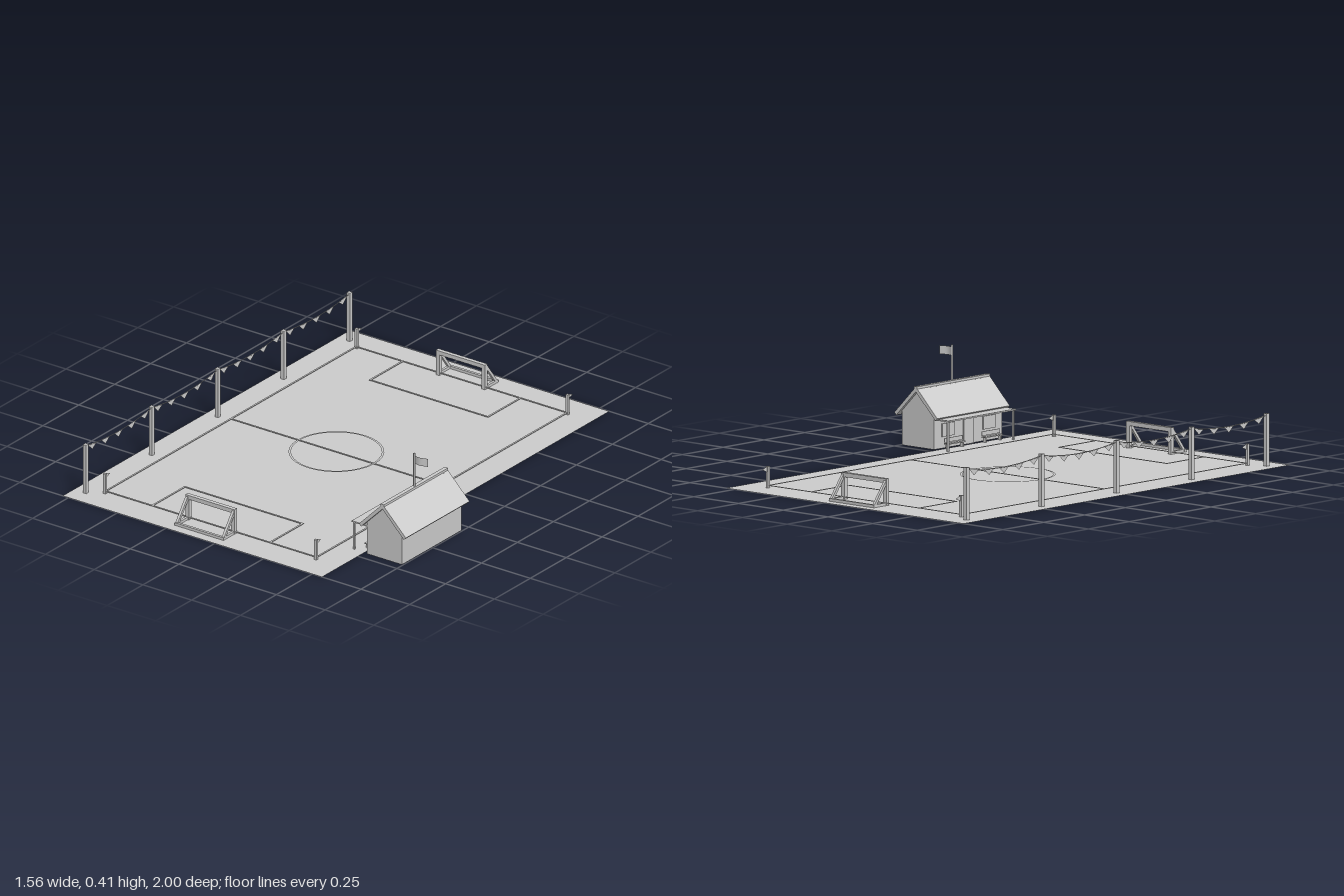
import * as THREE from 'three';

const CX = -0.113;            // middle of the pitch
const HW = 0.541, HL = 0.872; // half width and half length of the pitch

export function createModel() {
  const root = new THREE.Group();
  const grey = new THREE.MeshStandardMaterial({ color: 0xcccccc, side: THREE.DoubleSide });
  grey.name = 'plain grey';

  const add = (parent, name, geometry, x = 0, y = 0, z = 0) => {
    const m = new THREE.Mesh(geometry, grey);
    m.name = name;
    m.position.set(x, y, z);
    parent.add(m);
    return m;
  };
  const box = (parent, name, w, h, d, x, y, z) =>
    add(parent, name, new THREE.BoxGeometry(w, h, d), x, y, z);
  const group = (name, parent = root) => {
    const g = new THREE.Group();
    g.name = name;
    parent.add(g);
    return g;
  };
  // Flat triangle from three points
  const triangle = (parent, name, ...pts) =>
    add(parent, name, new THREE.BufferGeometry()
      .setFromPoints(pts.map(p => new THREE.Vector3(...p)))).geometry.computeVertexNormals();

  // Ground
  add(root, 'ground', new THREE.PlaneGeometry(1.33, 2).rotateX(-Math.PI / 2), -0.115, 0, 0);

  // Pitch markings
  const marks = group('pitchMarkings');
  const mark = (name, w, d, x, z) => box(marks, name, w, 0.002, d, x, 0.009, z);
  const lw = 0.008;
  for (const s of [-1, 1]) {
    mark('touchLine', lw, HL * 2, CX + s * HW, 0);
    mark('goalLine', HW * 2, lw, CX, s * HL);
    mark('penaltyFront', 0.61, lw, CX, s * 0.645);
    for (const t of [-1, 1]) mark('penaltySide', lw, 0.227, CX + t * 0.302, s * 0.758);
  }
  mark('halfwayLine', HW * 2, lw, CX, 0);
  add(marks, 'centreCircle', new THREE.RingGeometry(0.188, 0.198, 32).rotateX(-Math.PI / 2), CX, 0.0095, 0);

  // Corner posts with small pennants
  for (const sx of [-1, 1]) for (const sz of [-1, 1]) {
    const g = group('cornerFlag');
    g.position.set(CX + sx * HW, 0, sz * 0.876);
    box(g, 'cornerPost', 0.012, 0.09, 0.012, 0, 0.045, 0);
    triangle(g, 'cornerPennant', [0, 0.09, -0.005], [0, 0.066, -0.005], [0, 0.078, -0.035]);
  }

  // Goals: upright frame in front, sloping stays behind
  for (const s of [-1, 1]) {
    const g = group('goal');
    g.position.set(CX, 0, s * 0.872);
    if (s < 0) g.rotation.y = Math.PI;
    box(g, 'crossbar', 0.252, 0.018, 0.018, 0, 0.103, 0);
    box(g, 'backBar', 0.252, 0.012, 0.012, 0, 0.006, 0.078);
    for (const t of [-1, 1]) {
      box(g, 'goalPost', 0.018, 0.094, 0.018, t * 0.117, 0.047, 0);
      box(g, 'groundBar', 0.012, 0.012, 0.078, t * 0.119, 0.006, 0.04);
      const stay = box(g, 'sideStay', 0.012, 0.125, 0.012, t * 0.119, 0.055, 0.039);
      stay.rotation.x = -Math.atan2(0.075, 0.1);
    }
  }

  // Bunting on tall posts along the left touchline side
  const bunting = group('bunting');
  const bx = -0.722, step = 0.459;
  for (let i = 0; i < 5; i++) box(bunting, 'buntingPost', 0.017, 0.22, 0.017, bx, 0.11, (i - 2) * step);
  const ropeY = t => 0.213 - 0.08 * t * (1 - t);
  for (let i = 0; i < 4; i++) {
    const at = t => [bx, ropeY(t), (i - 2 + t) * step];
    const pts = [];
    for (let k = 0; k <= 8; k++) pts.push(new THREE.Vector3(...at(k / 8)));
    add(bunting, 'rope', new THREE.TubeGeometry(new THREE.CatmullRomCurve3(pts), 10, 0.002, 4));
    for (let k = 0; k < 5; k++) {
      const t = (k + 0.5) / 5, tip = at(t);
      tip[1] -= 0.026;
      triangle(bunting, 'pennant', at(t - 0.065), tip, at(t + 0.065));
    }
  }

  // Clubhouse
  const house = group('clubhouse');
  house.position.set(0.655, 0, 0.5);
  const gable = new THREE.Shape([[-0.09, 0], [0.09, 0], [0.09, 0.145], [0, 0.235], [-0.09, 0.145]]
    .map(p => new THREE.Vector2(...p)));
  add(house, 'walls', new THREE.ExtrudeGeometry(gable, { depth: 0.416, bevelEnabled: false }), 0, 0, -0.208);
  for (const s of [-1, 1]) {
    const slab = box(house, 'roofSlope', 0.17, 0.015, 0.444, s * 0.0547, 0.1897, 0);
    slab.rotation.z = -s * Math.PI / 4;
  }
  box(house, 'ridge', 0.018, 0.012, 0.446, 0, 0.25, 0);

  // Flagpole and waving flag
  add(house, 'flagpole', new THREE.CylinderGeometry(0.0045, 0.0045, 0.16, 8), 0, 0.325, 0);
  const flag = new THREE.PlaneGeometry(0.062, 0.036, 6, 1);
  const p = flag.attributes.position;
  for (let i = 0; i < p.count; i++) p.setZ(i, 0.005 * Math.sin((p.getX(i) + 0.031) * 70));
  flag.computeVertexNormals();
  add(house, 'flag', flag, 0.035, 0.377, 0);

  // Veranda
  const veranda = group('veranda', house);
  box(veranda, 'canopy', 0.085, 0.006, 0.414, -0.126, 0.126, 0);
  for (const s of [-1, 1]) {
    box(veranda, 'verandaPost', 0.008, 0.124, 0.008, -0.16, 0.062, s * 0.2);
    box(veranda, 'window', 0.006, 0.055, 0.075, -0.092, 0.076, s * 0.125);
    // Benches
    const z = s * 0.115;
    box(veranda, 'benchSeat', 0.02, 0.005, 0.11, -0.12, 0.022, z);
    box(veranda, 'benchBack', 0.003, 0.018, 0.11, -0.111, 0.036, z);
    for (const t of [-1, 1]) box(veranda, 'benchLeg', 0.016, 0.02, 0.005, -0.12, 0.01, z + t * 0.045);
  }
  box(veranda, 'door', 0.006, 0.105, 0.06, -0.092, 0.0525, 0);

  return root;
}
